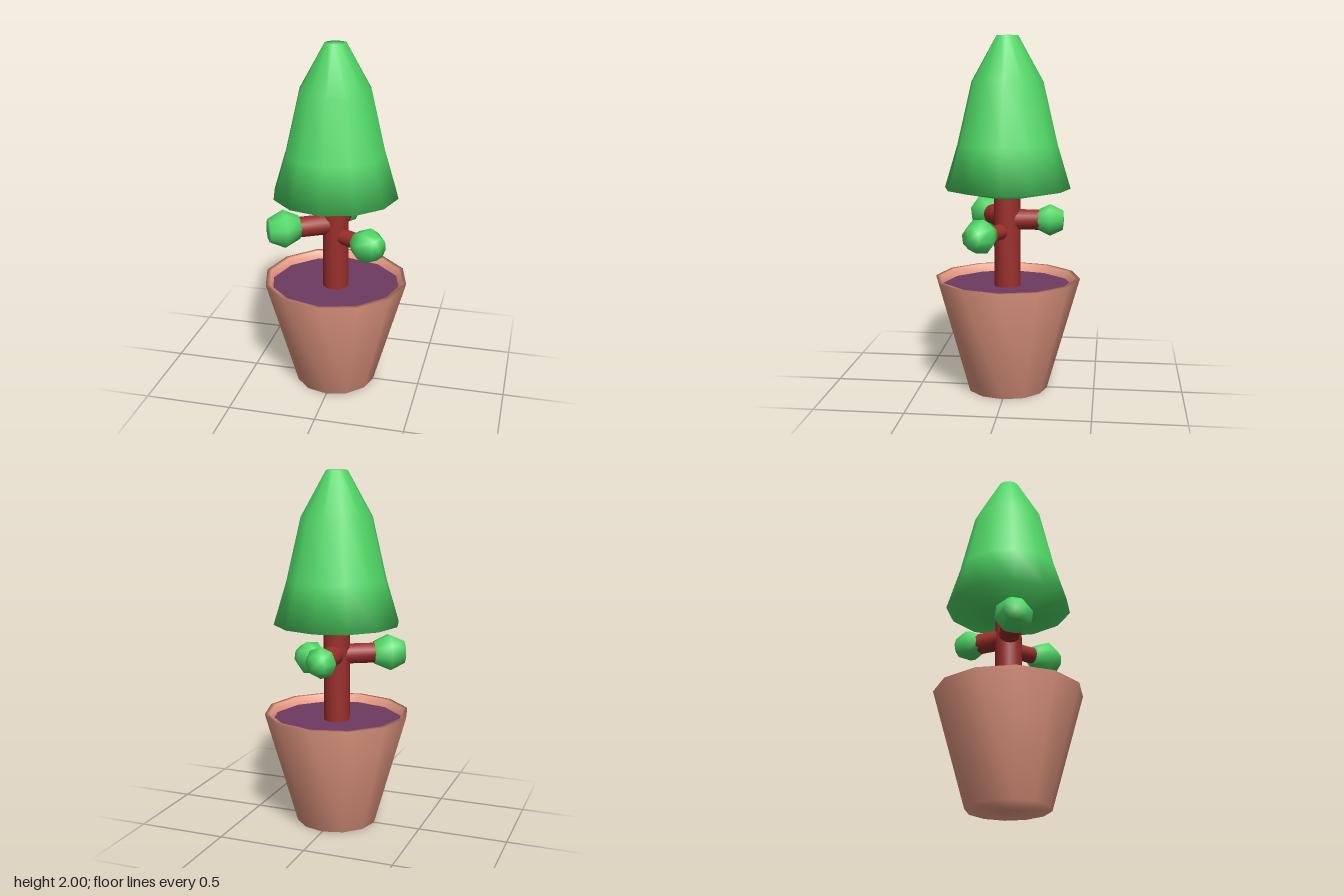
import * as THREE from 'three';
import { mergeVertices } from 'three/addons/utils/BufferGeometryUtils.js';

const paint = (color) => new THREE.MeshStandardMaterial({ color });
const LEAF = paint(0x50d866), BARK = paint(0x9a2f2a), CLAY = paint(0xee9f87), SOIL = paint(0x6f3a62);

// Revolved profile with normals averaged over every edge
function turned(name, profile, sides, material) {
  const lathe = new THREE.LatheGeometry(profile.map(([r, y]) => new THREE.Vector2(r, y)), sides);
  lathe.deleteAttribute('normal');
  lathe.deleteAttribute('uv');
  const geometry = mergeVertices(lathe, 1e-4);
  geometry.computeVertexNormals();
  const mesh = new THREE.Mesh(geometry, material);
  mesh.name = name;
  return mesh;
}

// Horizontal branch from the trunk axis, ending in a faceted leaf ball
function branch(name, x, y, z, stemRadius, ballRadius) {
  const group = new THREE.Group();
  group.name = name;
  const length = Math.hypot(x, z);
  const stem = turned('stem', [[stemRadius, 0], [stemRadius, length - ballRadius * 0.5]], 12, BARK);
  const b = ballRadius;
  const ball = turned('leafBall',
    [[0, -b * 0.86], [b * 0.62, -b * 0.8], [b, 0], [b * 0.62, b * 0.8], [0, b * 0.86]], 8, LEAF);
  ball.position.y = length;
  group.add(stem, ball);
  group.position.y = y;
  group.quaternion.setFromUnitVectors(
    new THREE.Vector3(0, 1, 0), new THREE.Vector3(x, 0, z).normalize());
  return group;
}

export function createModel() {
  const model = new THREE.Group();
  model.name = 'pottedTree';

  // Tapered pot with a thin rim, filled with soil
  model.add(turned('pot',
    [[0, 0], [0.23, 0], [0.413, 0.645], [0.385, 0.645], [0.37, 0.59]], 12, CLAY));
  model.add(turned('soil', [[0.373, 0.6], [0, 0.6]], 12, SOIL));

  // Trunk
  model.add(turned('trunk', [[0.075, 0.58], [0.075, 1.14]], 12, BARK));

  // Foliage dome with a shallow conical underside
  model.add(turned('foliage',
    [[0, 1.1], [0.07, 1.1], [0.355, 1.158], [0.282, 1.4], [0.2, 1.75], [0.06, 2], [0, 2]], 12, LEAF));

  // Side branches
  model.add(branch('rightBranch', -0.26, 0.98, 0.15, 0.058, 0.108));
  model.add(branch('leftBranch', 0.212, 0.915, 0.126, 0.045, 0.1));
  model.add(branch('backBranch', 0, 0.98, -0.242, 0.058, 0.09));

  return model;
}
